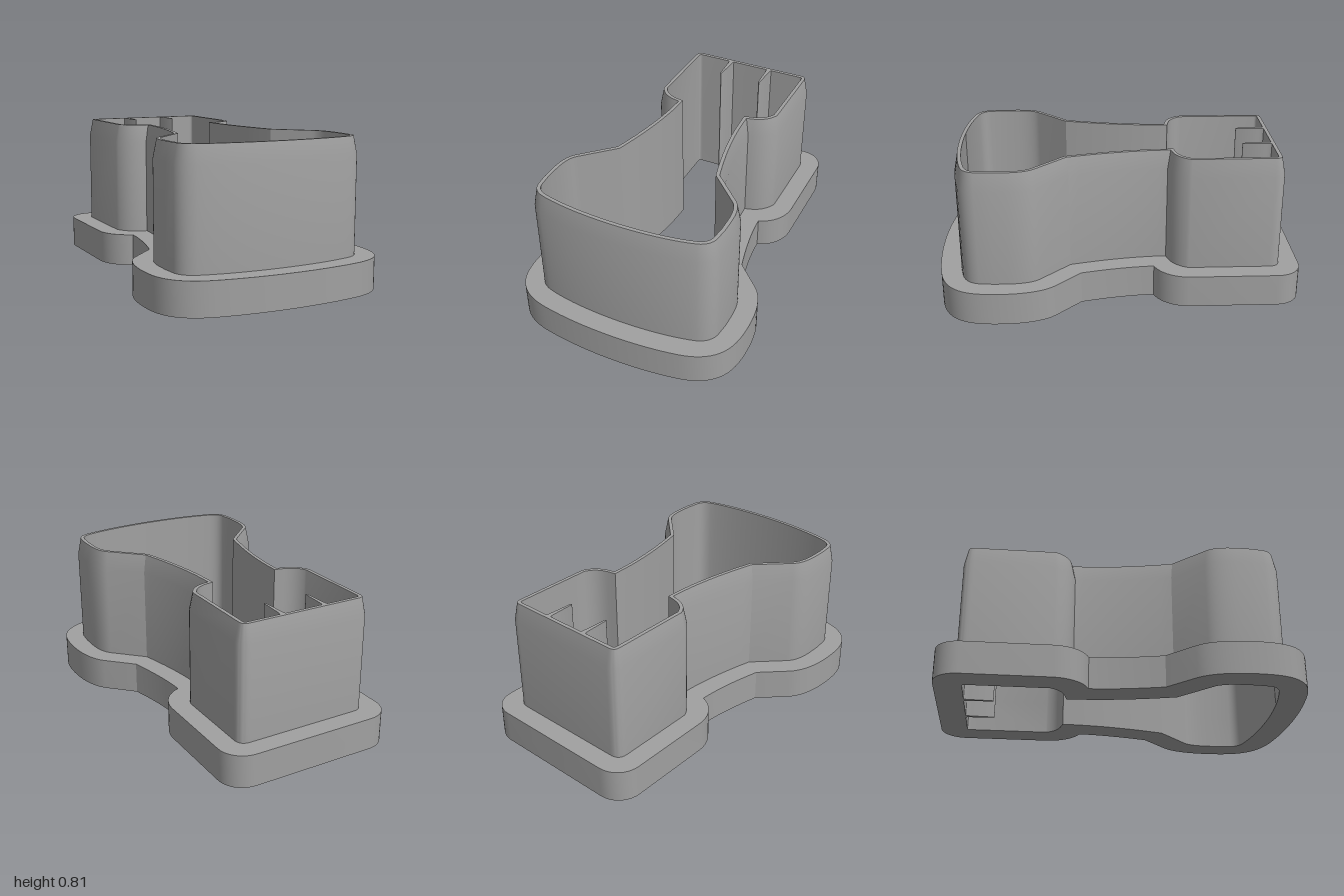
import * as THREE from 'three';
import { toCreasedNormals } from 'three/addons/utils/BufferGeometryUtils.js';

const BASE_H = 0.18, TAPER_Y = 0.71, TOP_Y = 0.81, WALL = 0.04;

// Mirror a half outline (back centre to front centre along +x) into a closed loop in x, z
function mirrored(path) {
  const half = path.getPoints(10);
  const other = half.slice(1, -1).reverse().map(p => new THREE.Vector2(-p.x, p.y));
  return [...half, ...other];
}

// Move a closed loop inward by d, with mitred corners
function inset(loop, d) {
  const n = loop.length;
  const normal = (a, b) => {
    const t = b.clone().sub(a).normalize();
    return new THREE.Vector2(t.y, -t.x);
  };
  return loop.map((p, i) => {
    const n1 = normal(loop[(i + n - 1) % n], p);
    const n2 = normal(p, loop[(i + 1) % n]);
    const k = d / (1 + n1.dot(n2));
    return p.clone().addScaledVector(n1.add(n2), -k);
  });
}

// Skin a stack of matching rings
function skin(rings) {
  const n = rings[0].loop.length, pos = [], index = [];
  for (const { loop, y } of rings) for (const p of loop) pos.push(p.x, y, p.y);
  for (let r = 0; r < rings.length - 1; r++) {
    for (let i = 0; i < n; i++) {
      const j = (i + 1) % n;
      const a = r * n + i, b = a + n, c = r * n + j, d = c + n;
      index.push(a, b, c, b, d, c);
    }
  }
  const g = new THREE.BufferGeometry();
  g.setAttribute('position', new THREE.Float32BufferAttribute(pos, 3));
  g.setIndex(index);
  return toCreasedNormals(g, 0.5);
}

// Extrude an x, z shape upward from y = 0
function slab(shape, height) {
  const g = new THREE.ExtrudeGeometry(shape, { depth: height, bevelEnabled: false });
  g.rotateX(Math.PI / 2).translate(0, height, 0);
  return toCreasedNormals(g, 0.5);
}

export function createModel() {
  const group = new THREE.Group();
  const grey = new THREE.MeshStandardMaterial({ color: 0xa0a0a0 });
  grey.name = 'grey plastic';
  const add = (name, geometry) => {
    const mesh = new THREE.Mesh(geometry, grey);
    mesh.name = name;
    group.add(mesh);
  };

  // Outer outline of the cutting wall
  const wallPath = new THREE.Path();
  wallPath.moveTo(0, -0.89);
  wallPath.lineTo(0.32, -0.89);
  wallPath.quadraticCurveTo(0.38, -0.89, 0.38, -0.83);
  wallPath.lineTo(0.38, -0.385);
  wallPath.quadraticCurveTo(0.345, -0.29, 0.235, -0.27);
  wallPath.quadraticCurveTo(0.24, -0.03, 0.32, 0.265);
  wallPath.lineTo(0.48, 0.425);
  wallPath.quadraticCurveTo(0.53, 0.475, 0.53, 0.6);
  wallPath.lineTo(0.53, 0.67);
  wallPath.lineTo(0.522, 0.75);
  wallPath.quadraticCurveTo(0.51, 0.815, 0.44, 0.84);
  wallPath.bezierCurveTo(0.32, 0.875, 0.15, 0.89, 0, 0.89);
  const outer = mirrored(wallPath);
  const inner = inset(outer, WALL);

  // Outline of the wide base flange
  const flangePath = new THREE.Path();
  flangePath.moveTo(0, -1);
  flangePath.lineTo(0.35, -1);
  flangePath.bezierCurveTo(0.43, -1, 0.49, -0.94, 0.49, -0.86);
  flangePath.lineTo(0.49, -0.38);
  flangePath.bezierCurveTo(0.485, -0.29, 0.43, -0.22, 0.355, -0.195);
  flangePath.quadraticCurveTo(0.36, -0.03, 0.42, 0.205);
  flangePath.lineTo(0.56, 0.345);
  flangePath.bezierCurveTo(0.62, 0.41, 0.64, 0.52, 0.64, 0.63);
  flangePath.bezierCurveTo(0.64, 0.72, 0.63, 0.78, 0.605, 0.83);
  flangePath.bezierCurveTo(0.57, 0.9, 0.5, 0.945, 0.4, 0.965);
  flangePath.bezierCurveTo(0.27, 0.99, 0.13, 1, 0, 1);
  const flange = new THREE.Shape(mirrored(flangePath));
  flange.holes.push(new THREE.Path(inner));
  add('baseFlange', slab(flange, BASE_H));

  // Upright wall, tapering to a thin rim
  add('cuttingWall', skin([
    { loop: outer, y: BASE_H },
    { loop: outer, y: TAPER_Y },
    { loop: inset(outer, WALL / 2), y: TOP_Y },
    { loop: inner, y: TOP_Y },
    { loop: inner, y: BASE_H },
  ]));

  // Two slim fins inside the back wall
  for (const [name, x] of [['leftFin', 0.123], ['rightFin', -0.126]]) {
    const fin = new THREE.Shape();
    fin.moveTo(x - 0.018, -0.855);
    fin.quadraticCurveTo(x - 0.012, -0.845, x - 0.011, -0.82);
    fin.lineTo(x - 0.005, -0.695);
    fin.quadraticCurveTo(x, -0.685, x + 0.005, -0.695);
    fin.lineTo(x + 0.011, -0.82);
    fin.quadraticCurveTo(x + 0.012, -0.845, x + 0.018, -0.855);
    add(name, slab(fin, TOP_Y));
  }
  return group;
}
